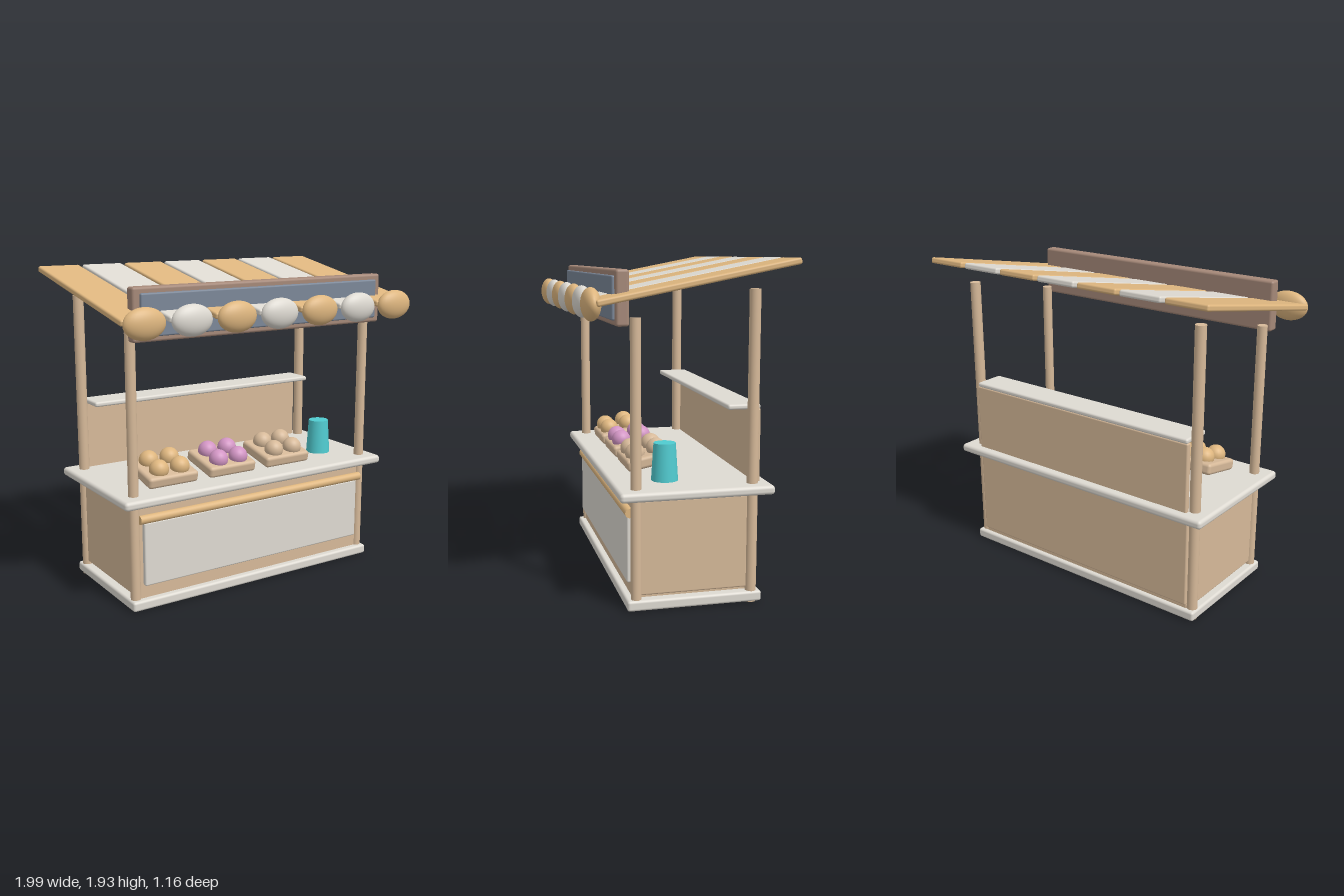
import * as THREE from 'three';
import { RoundedBoxGeometry } from 'three/addons/geometries/RoundedBoxGeometry.js';

const material = (name, color) => {
  const m = new THREE.MeshStandardMaterial({ color });
  m.name = name;
  return m;
};

export function createModel() {
  const wood = material('pale wood', 0xd6b999);
  const tan = material('warm tan', 0xdeb67f);
  const cream = material('cream', 0xdedad2);
  const brown = material('sign brown', 0xa58878);
  const slate = material('slate blue', 0x7b8798);
  const pink = material('pink', 0xd295c4);
  const teal = material('teal', 0x50cbd0);

  const stall = new THREE.Group();
  stall.name = 'marketStall';

  const add = (name, geometry, mat, x = 0, y = 0, z = 0, parent = stall) => {
    const mesh = new THREE.Mesh(geometry, mat);
    mesh.name = name;
    mesh.position.set(x, y, z);
    parent.add(mesh);
    return mesh;
  };
  // Rounded box given by its limits on each axis
  const box = (name, mat, [x0, x1], [y0, y1], [z0, z1], r = 0.01) =>
    add(name, new RoundedBoxGeometry(x1 - x0, y1 - y0, z1 - z0, 3, r), mat,
      (x0 + x1) / 2, (y0 + y1) / 2, (z0 + z1) / 2);

  // Base, counter body and worktop
  box('base', cream, [-0.87, 0.87], [0.005, 0.065], [-0.435, 0.34], 0.015);
  box('counterBody', wood, [-0.81, 0.81], [0.05, 0.65], [-0.41, 0.3]);
  box('counterBack', wood, [-0.81, 0.81], [0.09, 0.63], [-0.425, -0.39]);
  box('worktop', cream, [-0.93, 0.93], [0.638, 0.69], [-0.485, 0.39], 0.02);
  box('frontPanel', cream, [-0.785, 0.785], [0.145, 0.53], [0.29, 0.327]);
  const rail = add('frontRail', new THREE.CylinderGeometry(0.026, 0.026, 1.62, 24), tan, 0, 0.55, 0.315);
  rail.rotation.z = Math.PI / 2;

  // Side panels and posts
  for (const s of [1, -1]) {
    const side = s > 0 ? 'left' : 'right';
    add(side + 'SidePanel', new RoundedBoxGeometry(0.04, 0.54, 0.62, 3, 0.01), wood, s * 0.82, 0.355, -0.045);
    add(side + 'FrontPost', new THREE.CylinderGeometry(0.03, 0.03, 1.61, 24), wood, s * 0.83, 0.815, 0.285);
    add(side + 'BackPost', new THREE.CylinderGeometry(0.032, 0.032, 1.767, 24), wood, s * 0.83, 0.8835, -0.38);
  }

  // Back wall with its narrow shelf
  box('backWall', wood, [-0.805, 0.805], [0.65, 1.105], [-0.435, -0.4]);
  box('backShelf', cream, [-0.8, 0.8], [1.1, 1.13], [-0.435, -0.245], 0.012);

  // Striped sloping awning with a rounded scallop on each strip
  const awning = new THREE.Group();
  awning.name = 'awning';
  stall.add(awning);
  const strip = new RoundedBoxGeometry(0.265, 0.036, 1.12, 3, 0.012);
  const scallop = new THREE.SphereGeometry(1, 28, 18).scale(0.125, 0.088, 0.052);
  for (let i = 0; i < 7; i++) {
    const x = (i - 3) * 0.288;
    const mat = i % 2 ? cream : tan;
    add('awningStrip', strip, mat, x, 1.81, -0.03, awning).rotation.x = 0.192;
    add('awningScallop', scallop, mat, x, 1.695, 0.528, awning);
  }

  // Sign board
  box('signFrame', brown, [-0.862, 0.862], [1.575, 1.873], [0.323, 0.395], 0.015);
  box('signFace', slate, [-0.82, 0.82], [1.605, 1.84], [0.37, 0.411], 0.01);

  // Tilted trays, each with four round buns
  const trayShape = new RoundedBoxGeometry(0.33, 0.07, 0.29, 3, 0.02);
  const bun = new THREE.SphereGeometry(0.059, 24, 16);
  [tan, pink, wood].forEach((mat, i) => {
    const tray = new THREE.Group();
    tray.name = 'tray';
    tray.position.set(-0.54 + i * 0.412, 0.752, 0.108);
    tray.rotation.x = 0.2;
    stall.add(tray);
    add('trayBoard', trayShape, wood, 0, 0, 0, tray);
    for (const x of [-0.07, 0.07])
      for (const z of [-0.06, 0.07]) add('bun', bun, mat, x, 0.052, z, tray);
  });

  // Cup
  add('cup', new THREE.CylinderGeometry(0.063, 0.077, 0.22, 28), teal, 0.652, 0.795, 0.08);

  return stall;
}
